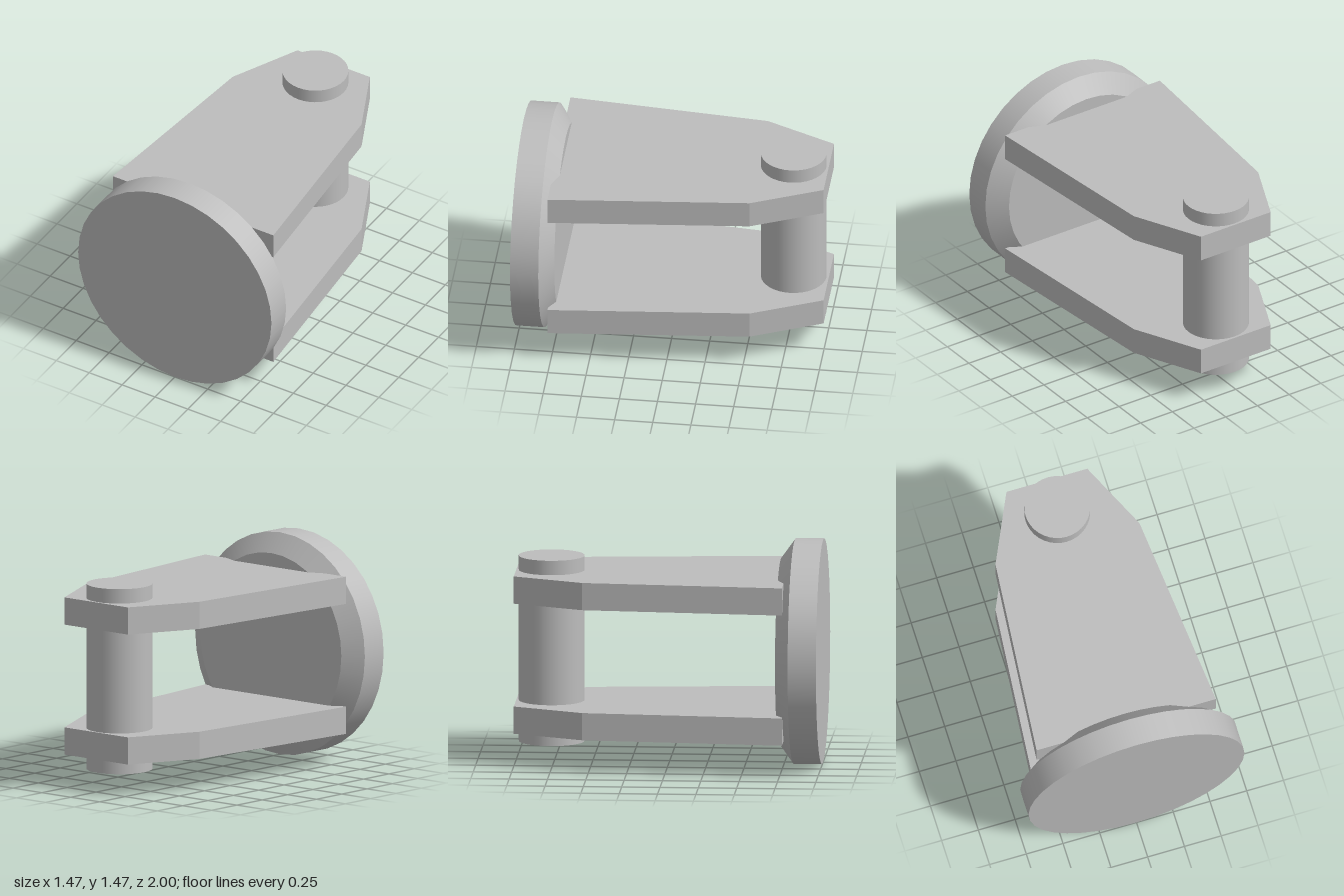
import * as THREE from 'three';

export function createModel() {
  const model = new THREE.Group();
  const steel = new THREE.MeshStandardMaterial({ color: 0xbdbdbd });
  steel.name = 'grey steel';

  const add = (name, geometry, x, y, z, parent = model) => {
    const mesh = new THREE.Mesh(geometry, steel);
    mesh.name = name;
    mesh.position.set(x, y, z);
    parent.add(mesh);
    return mesh;
  };

  // Round end disc with a chamfer on its rear edge: one turned profile,
  // each segment lathed separately so the edges stay sharp
  const disc = new THREE.Group();
  disc.name = 'disc';
  disc.position.y = 0.74;
  disc.rotation.x = Math.PI / 2;
  model.add(disc);
  const profile = [[0, 0.725], [0.61, 0.725], [0.735, 0.815], [0.735, 1], [0, 1]];
  const names = ['discBack', 'discChamfer', 'discRim', 'discFront'];
  names.forEach((name, i) => {
    const points = [profile[i], profile[i + 1]].map(([r, h]) => new THREE.Vector2(r, h));
    add(name, new THREE.LatheGeometry(points, 36), 0, 0, 0, disc);
  });

  // Two tapered arms, outline drawn in x and z, extruded downwards
  const half = [[0.61, 0.77], [0.49, -0.54], [0.275, -1]];
  const outline = [...half, ...half.map(([x, z]) => [-x, z]).reverse()];
  const shape = new THREE.Shape(outline.map(([x, z]) => new THREE.Vector2(x, z)));
  const arm = new THREE.ExtrudeGeometry(shape, { depth: 0.18, bevelEnabled: false });
  arm.rotateX(Math.PI / 2);
  add('upperArm', arm, 0, 1.26, 0);
  add('lowerArm', arm, 0, 0.4, 0);

  // Pin through both arms
  add('pin', new THREE.CylinderGeometry(0.215, 0.215, 1.225, 36), 0, 0.7425, -0.77);

  return model;
}
